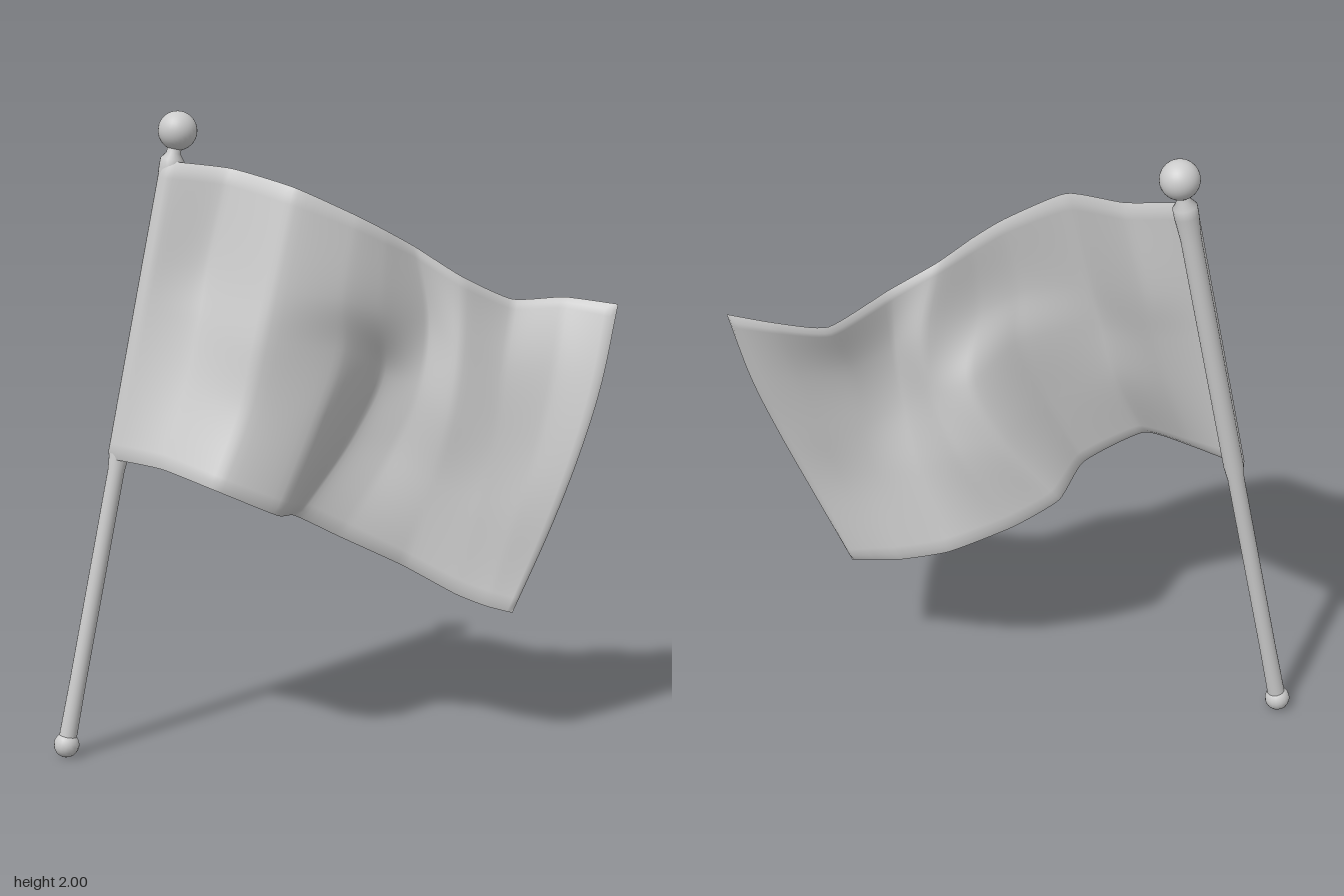
import * as THREE from 'three';

const V = (p) => new THREE.Vector3(...p);
const material = new THREE.MeshStandardMaterial({ color: 0xcccccc });
const foot = V([-.765, .04, .36]), tip = V([-.47, 1.94, .11]);

// Height of each cloth line where it meets the pole, top hem to bottom hem
const poleHeights = [1.85, 1.55, 1.4, 1.22, .94];

// The cloth lines away from the pole, following the ridge, the deep fold and the free edge
const clothLines = [
  [[-.3, 1.83, .1], [-.08, 1.785, .15], [.08, 1.7, .06], [.15, 1.65, -.01], [.22, 1.59, -.1],
    [.35, 1.495, -.17], [.47, 1.41, -.32], [.62, 1.415, -.385], [.79, 1.4, -.39]],
  [[-.36, 1.53, .14], [-.13, 1.48, .21], [.05, 1.45, .1], [.14, 1.4, 0], [.25, 1.36, -.13],
    [.36, 1.28, -.13], [.47, 1.22, -.22], [.61, 1.2, -.3], [.755, 1.15, -.33]],
  [[-.375, 1.37, .18], [-.155, 1.33, .24], [.04, 1.29, .08], [.12, 1.2, -.08], [.23, 1.15, -.12],
    [.34, 1.08, -.11], [.46, 1, -.17], [.58, .97, -.23], [.705, .94, -.27]],
  [[-.4, 1.18, .23], [-.19, 1.12, .28], [-.02, 1.06, .15], [.03, 1, -.05], [.14, .94, -.11],
    [.28, .86, -.12], [.42, .8, -.14], [.53, .76, -.17], [.635, .72, -.21]],
  [[-.45, .93, .31], [-.25, .89, .37], [-.1, .8, .25], [-.11, .76, .07], [0, .68, -.03],
    [.18, .58, -.12], [.35, .5, -.13], [.45, .468, -.135], [.53, .45, -.15]],
];

// A cloth line as a curve: wrapped round the front of the pole, then out to the free edge
function clothCurve(line, r) {
  const p = foot.clone().lerp(tip, (poleHeights[r] - foot.y) / (tip.y - foot.y));
  const wrap = [[-.026, 0, .012], [.012, 0, .03]].map((o) => V(o).add(p));
  return new THREE.CatmullRomCurve3([...wrap, ...line.map(V)], false, 'catmullrom', 0.28);
}

// One face of the cloth: side is +1 for the front, -1 for the back
function clothSide(side) {
  const nu = 80, nv = 48;
  const geo = new THREE.PlaneGeometry(1, 1, nu, nv);
  const pos = geo.attributes.position;
  const rows = clothLines.map(clothCurve);
  for (let i = 0; i <= nu; i++) {
    const column = new THREE.CatmullRomCurve3(rows.map((r) => r.getPoint(i / nu)));
    for (let j = 0; j <= nv; j++) {
      const p = column.getPoint(j / nv);
      pos.setXYZ(j * (nu + 1) + i, p.x, p.y, p.z);
    }
  }
  geo.computeVertexNormals();
  // Give the cloth thickness that closes at the hems
  const n = geo.attributes.normal;
  for (let j = 0; j <= nv; j++) {
    for (let i = 0; i <= nu; i++) {
      const k = j * (nu + 1) + i;
      const h = side * 0.01 * Math.min(1, i, nu - i, j, nv - j);
      pos.setXYZ(k, pos.getX(k) + n.getX(k) * h, pos.getY(k) + n.getY(k) * h, pos.getZ(k) + n.getZ(k) * h);
    }
  }
  if (side < 0) {
    const idx = geo.index;
    for (let t = 0; t < idx.count; t += 3) {
      const a = idx.getX(t);
      idx.setX(t, idx.getX(t + 1));
      idx.setX(t + 1, a);
    }
  }
  geo.computeVertexNormals();
  return geo;
}

export function createModel() {
  const model = new THREE.Group();
  const add = (parent, name, geo) => {
    const mesh = new THREE.Mesh(geo, material);
    mesh.name = name;
    parent.add(mesh);
    return mesh;
  };

  // Leaning pole with its knobs, built upright and then tilted
  const axis = tip.clone().sub(foot), len = axis.length();
  const staff = new THREE.Group();
  staff.name = 'staff';
  staff.position.copy(foot);
  staff.quaternion.setFromUnitVectors(V([0, 1, 0]), axis.normalize());
  model.add(staff);

  // Shaft, wider where the cloth wraps it, with a flared collar below the finial
  const profile = [[.028, 0], [.026, .2], [.026, .88], [.031, .93], [.031, 1.74], [.037, 1.82],
    [.037, 1.85], [.022, 1.87], [.022, len - .03]].map(([r, y]) => new THREE.Vector2(r, y));
  add(staff, 'pole', new THREE.LatheGeometry(profile, 20));
  add(staff, 'finial', new THREE.SphereGeometry(.06, 28, 20)).position.y = len;
  add(staff, 'footKnob', new THREE.SphereGeometry(.04, 16, 12));

  // Waving cloth
  const flag = new THREE.Group();
  flag.name = 'flag';
  model.add(flag);
  add(flag, 'clothFront', clothSide(1));
  add(flag, 'clothBack', clothSide(-1));
  return model;
}
